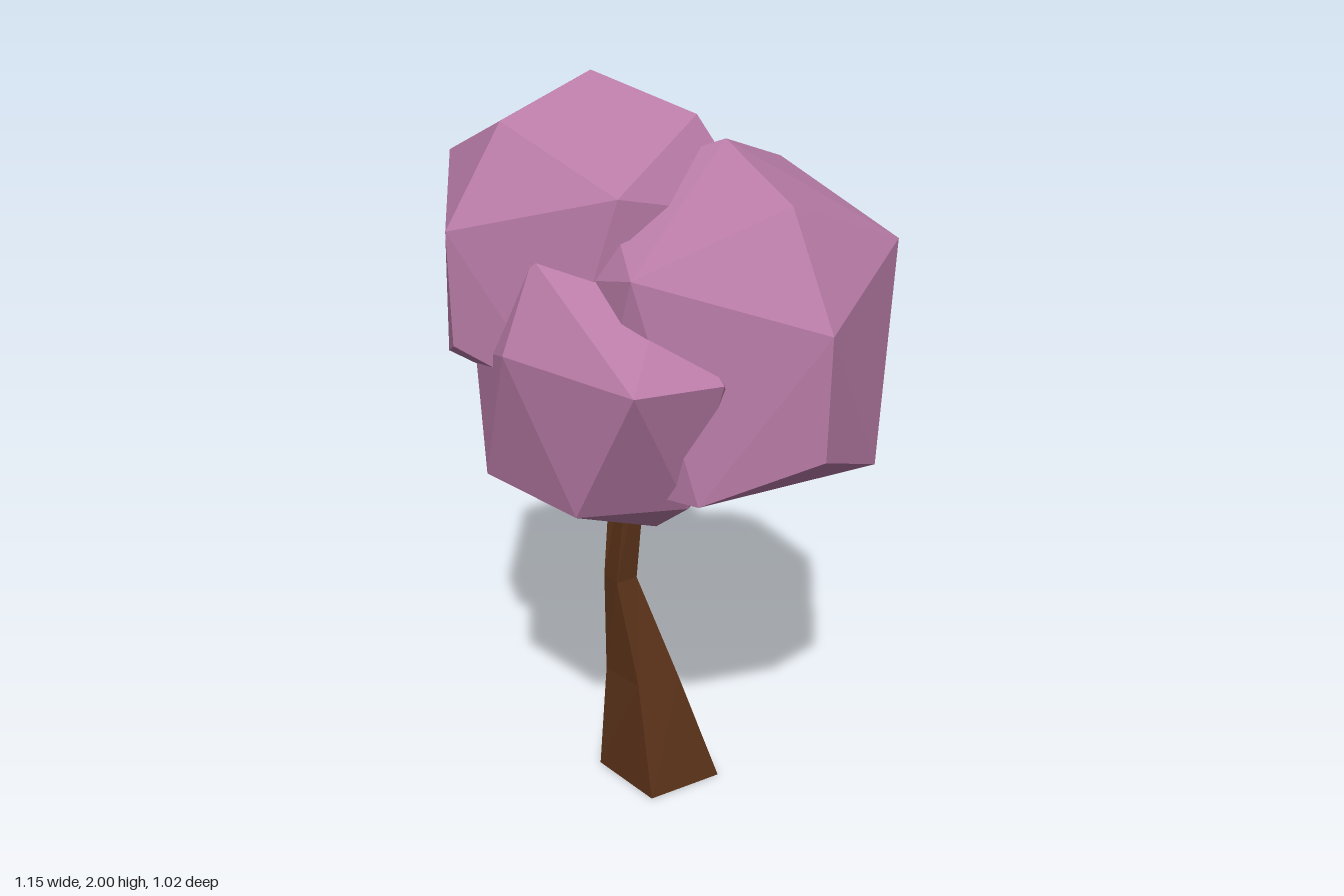
import * as THREE from 'three';
import { ConvexGeometry } from 'three/addons/geometries/ConvexGeometry.js';

const leafMaterial = new THREE.MeshStandardMaterial({ color: 0xb87ba6, flatShading: true });
const barkMaterial = new THREE.MeshStandardMaterial({ color: 0x5a3219, flatShading: true });

function addMesh(group, name, geometry, material) {
  const mesh = new THREE.Mesh(geometry, material);
  mesh.name = name;
  group.add(mesh);
}

// Faceted leaf clump: rings of corners with threefold symmetry on a sphere
function clumpGeometry(center, radius, turn) {
  const rings = [[36.2, 0], [58.7, 60], [72.6, 0], [108.5, 0], [123.6, 37.8], [123.6, 82.2]];
  const points = [];
  const addPoint = (polar, azimuth) => {
    const p = THREE.MathUtils.degToRad(polar);
    const a = THREE.MathUtils.degToRad(azimuth + turn);
    points.push(new THREE.Vector3(Math.sin(p) * Math.cos(a), Math.cos(p), Math.sin(p) * Math.sin(a))
      .multiplyScalar(radius).add(center));
  };
  addPoint(0, 0);
  for (const [polar, azimuth] of rings) {
    for (let k = 0; k < 3; k++) addPoint(polar, azimuth + 120 * k);
  }
  addPoint(169, 240);
  return new ConvexGeometry(points);
}

// Four-sided bent trunk from cross-sections: height, then corners front, +x, back, -x as x, z
function trunkGeometry() {
  const sections = [
    [0, 0.02, 0.08, 0.165, -0.09, -0.035, -0.2, -0.18, -0.03],
    [0.33, -0.04, 0.02, 0.05, -0.065, -0.07, -0.125, -0.16, -0.04],
    [0.64, -0.11, 0, -0.07, -0.05, -0.12, -0.085, -0.16, -0.035],
    [1.15, -0.07, -0.03, -0.03, -0.058, -0.09, -0.065, -0.125, -0.035],
  ];
  const positions = [];
  const index = [0, 2, 1, 0, 3, 2];
  sections.forEach(([y, ...c], s) => {
    for (let i = 0; i < 4; i++) {
      positions.push(c[2 * i], y, c[2 * i + 1]);
      if (s === 0) continue;
      const a = (s - 1) * 4 + i;
      const b = (s - 1) * 4 + (i + 1) % 4;
      index.push(a, b, b + 4, a, b + 4, a + 4);
    }
  });
  const top = (sections.length - 1) * 4;
  index.push(top, top + 1, top + 2, top, top + 2, top + 3);
  const indexed = new THREE.BufferGeometry();
  indexed.setAttribute('position', new THREE.Float32BufferAttribute(positions, 3));
  indexed.setIndex(index);
  const geometry = indexed.toNonIndexed();
  geometry.computeVertexNormals();
  return geometry;
}

// Tilted smaller clump at the front
function frontClumpGeometry() {
  const corners = [
    [0.13, 1.41, 0.505], [0.285, 1.4, 0.34], [-0.05, 1.05, 0.415], [0.19, 1.06, 0.3],
    [0.04, 0.89, 0.1], [-0.36, 1.045, 0.25], [-0.24, 1.42, 0.38], [-0.2, 1.63, 0.28],
    [-0.43, 1.33, 0.14], [0.1, 1.58, 0.22], [-0.1, 1.65, 0.05], [0.25, 1.1, 0.02],
    [-0.1, 1.01, -0.15], [-0.34, 1.1, -0.05], [-0.3, 1.45, -0.1], [0.15, 1.4, -0.15],
  ];
  return new ConvexGeometry(corners.map((c) => new THREE.Vector3(...c)));
}

export function createModel() {
  const tree = new THREE.Group();
  tree.name = 'tree';
  addMesh(tree, 'trunk', trunkGeometry(), barkMaterial);
  addMesh(tree, 'upperFoliage', clumpGeometry(new THREE.Vector3(-0.19, 1.543, -0.075), 0.457, 0), leafMaterial);
  addMesh(tree, 'sideFoliage', clumpGeometry(new THREE.Vector3(0.16, 1.37, -0.05), 0.495, 42), leafMaterial);
  addMesh(tree, 'frontFoliage', frontClumpGeometry(), leafMaterial);
  return tree;
}
